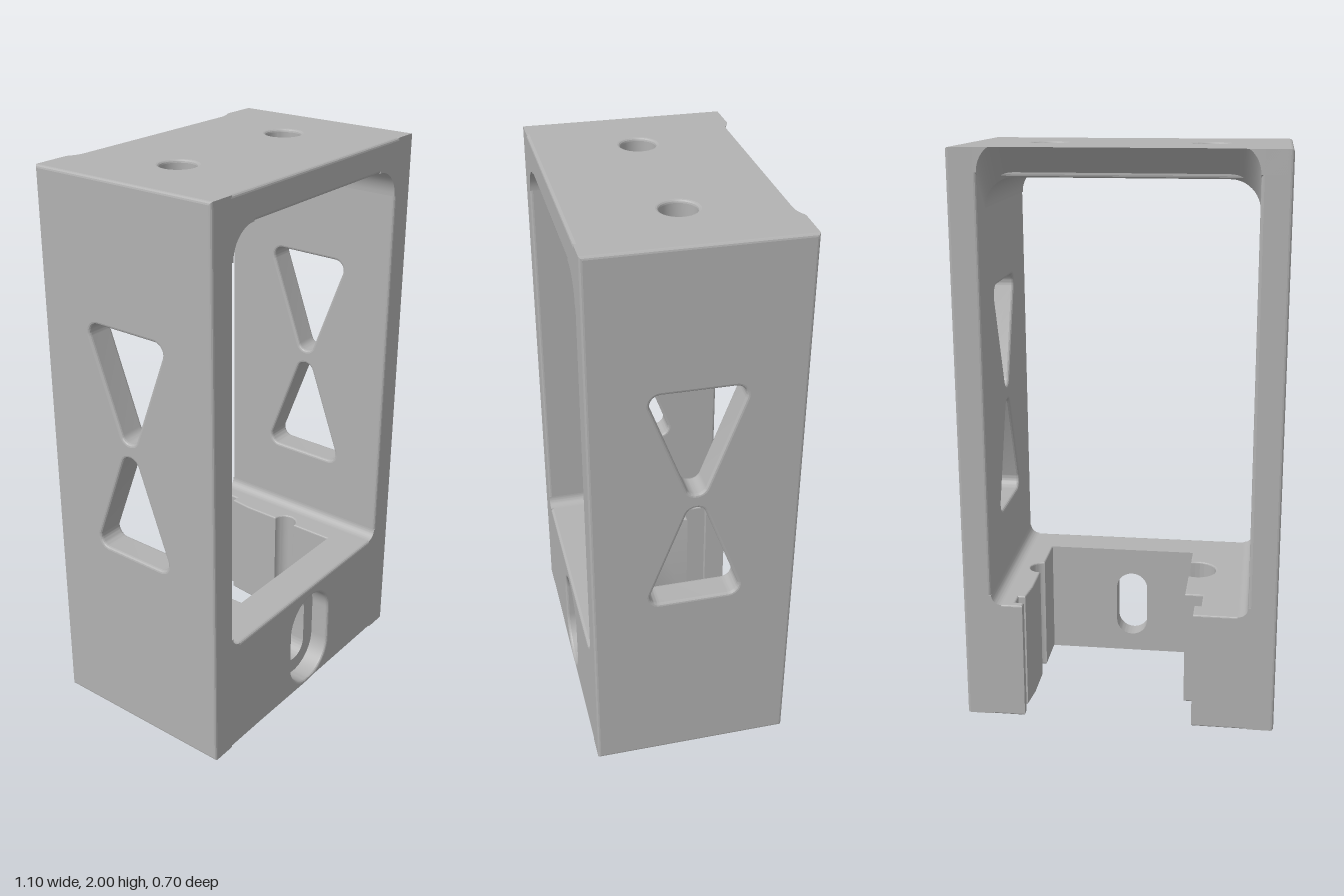
import * as THREE from 'three';
import { toCreasedNormals } from 'three/addons/utils/BufferGeometryUtils.js';

const EDGE = 0.01; // small rounding on outer edges

// Closed path through points, with every corner rounded to radius r
function roundedPath(pts, r, PathType = THREE.Shape) {
  const path = new PathType();
  const v = pts.map(([x, y]) => new THREE.Vector2(x, y));
  v.forEach((c, i) => {
    const a = v[(i + v.length - 1) % v.length].clone().sub(c).normalize();
    const b = v[(i + 1) % v.length].clone().sub(c).normalize();
    const inner = Math.acos(a.dot(b));
    const len = r / Math.tan(inner / 2);
    const k = len - (4 / 3) * Math.tan((Math.PI - inner) / 4) * r;
    const at = (d, s) => c.clone().addScaledVector(d, s);
    const p = at(a, len), p1 = at(a, k), p2 = at(b, k), q = at(b, len);
    if (i === 0) path.moveTo(p.x, p.y);
    else path.lineTo(p.x, p.y);
    path.bezierCurveTo(p1.x, p1.y, p2.x, p2.y, q.x, q.y);
  });
  path.closePath();
  return path;
}

const polygon = (pts) => new THREE.Shape(pts.map(([x, y]) => new THREE.Vector2(x, y)));
const rect = (x0, y0, x1, y1) => polygon([[x0, y0], [x1, y0], [x1, y1], [x0, y1]]);

function stadium(cx, cy, r, halfStraight) {
  const p = new THREE.Path();
  p.absarc(cx, cy + halfStraight, r, 0, Math.PI, false);
  p.absarc(cx, cy - halfStraight, r, Math.PI, Math.PI * 2, false);
  p.closePath();
  return p;
}

// Extrude a shape from w0 to w1 along an axis, with rounded edges of size b
function slab(shape, axis, w0, w1, b = EDGE) {
  const g = new THREE.ExtrudeGeometry(shape, {
    depth: w1 - w0 - 2 * b, curveSegments: 16, bevelEnabled: b > 0,
    bevelThickness: b, bevelSize: b, bevelOffset: -b, bevelSegments: 3,
  });
  g.translate(0, 0, w0 + b);
  if (axis === 'x') g.rotateY(Math.PI / 2);   // shape is (-z, y)
  if (axis === 'y') g.rotateX(-Math.PI / 2);  // shape is (x, -z)
  return toCreasedNormals(g, 0.25);
}

// Rear of the top plate: the rounded opening sweeps upward to a thin edge
function flareGeometry() {
  const xs = [-0.53];
  for (let i = 0; i <= 12; i++) xs.push(-0.35 - 0.1 * Math.cos((i / 12) * Math.PI / 2));
  xs.push(...xs.slice().reverse().map((x) => -x));
  const sections = xs.map((x) => {
    const dx = Math.min(0.1, Math.max(0, Math.abs(x) - 0.35));
    const y = 1.8 + Math.sqrt(Math.max(0, 0.01 - dx * dx));
    const t = Math.min(1, (2 - y) / 0.122);
    const z = -0.24 - 0.11 * t;
    return [[x, y, -0.24], [x, y + 0.122 * t, z], [x, 2, z], [x, 2, -0.2]];
  });
  const pos = [];
  for (let i = 0; i < sections.length - 1; i++) {
    const a = sections[i], b = sections[i + 1];
    for (let j = 0; j < 3; j++) {
      pos.push(...a[j], ...a[j + 1], ...b[j], ...b[j], ...a[j + 1], ...b[j + 1]);
    }
  }
  const g = new THREE.BufferGeometry();
  g.setAttribute('position', new THREE.Float32BufferAttribute(pos, 3));
  g.computeVertexNormals();
  return toCreasedNormals(g, 0.25);
}

// Concave fillet filling an inside corner at (x, y); sx, sy point into the opening
function filletShape(x, y, sx, sy, r) {
  const pts = [[x - sx * 0.02, y - sy * 0.02], [x + sx * r, y - sy * 0.02]];
  for (let i = 0; i <= 12; i++) {
    const a = (i / 12) * Math.PI / 2;
    pts.push([x + sx * r * (1 - Math.sin(a)), y + sy * r * (1 - Math.cos(a))]);
  }
  pts.push([x - sx * 0.02, y + sy * r]);
  return polygon(pts);
}

// Points around a round groove bulging toward direction s in x, ordered by z
function groove(cx, cz, r, s, half) {
  const pts = [];
  for (let i = 0; i <= 16; i++) {
    const a = -half + (2 * half * i) / 16;
    pts.push([cx + s * r * Math.cos(a), cz + r * Math.sin(a)]);
  }
  return pts;
}

export function createModel() {
  const model = new THREE.Group();
  const grey = new THREE.MeshStandardMaterial({ color: 0xb2b2b2 });
  grey.name = 'grey';
  const add = (name, geometry) => {
    const m = new THREE.Mesh(geometry, grey);
    m.name = name;
    model.add(m);
  };

  // Side walls with hourglass cutouts
  const side = rect(-0.35, 0, 0.35, 2);
  side.holes.push(
    roundedPath([[-0.168, 1.525], [0, 1.072], [0.168, 1.525]], 0.035, THREE.Path),
    roundedPath([[-0.168, 0.7], [0.168, 0.7], [0, 1.15]], 0.035, THREE.Path),
  );
  add('rightWall', slab(side, 'x', -0.55, -0.45));
  add('leftWall', slab(side, 'x', 0.45, 0.55));

  // Top plate with two screw holes and flared rear edge
  const top = rect(-0.54, -0.35, 0.54, 0.255);
  for (const x of [-0.277, 0.277]) {
    top.holes.push(new THREE.Path().absarc(x, 0, 0.06, 0, Math.PI * 2, true));
  }
  add('topPlate', slab(top, 'y', 1.9, 2));
  add('topRearFlare', flareGeometry());

  // Rounded inside corners of the opening
  for (const s of [-1, 1]) {
    const label = s < 0 ? 'right' : 'left';
    add(label + 'UpperFillet', slab(filletShape(s * 0.45, 1.9, -s, -1, 0.1), 'z', -0.24, 0.35, 0));
    add(label + 'LowerFillet', slab(filletShape(s * 0.45, 0.43, -s, 1, 0.035), 'z', -0.35, 0.35, 0));
  }

  // Lower front wall: wide recess in front, narrow slot behind
  const outer = rect(-0.54, 0, 0.54, 0.43);
  outer.holes.push(stadium(0.018, 0.2, 0.117, 0.07));
  add('frontWall', slab(outer, 'z', 0.265, 0.35));
  const inner = rect(-0.53, 0, 0.53, 0.43);
  inner.holes.push(stadium(0.018, 0.2, 0.06, 0.07));
  add('slotWall', slab(inner, 'z', 0.21, 0.28, 0));

  // Base blocks either side of the rear channel, in plan (x, z)
  const rightPlan = [
    [-0.53, -0.35], [-0.26, -0.35], [-0.26, -0.27], [-0.285, -0.27], [-0.285, -0.18],
    [-0.22, -0.18], ...groove(-0.25, 0.05, 0.07, -1, 2.01), [-0.22, 0.33], [-0.53, 0.33],
  ];
  const leftPlan = [
    [0.53, -0.35], [0.34, -0.35], [0.34, -0.32], [0.37, -0.32], [0.37, -0.27],
    [0.345, -0.27], [0.335, -0.18], ...groove(0.335, 0, 0.045, 1, Math.PI / 2),
    [0.335, 0.33], [0.53, 0.33],
  ];
  const flip = (pts) => polygon(pts.map(([x, z]) => [x, -z]));
  add('rightBaseBlock', slab(flip(rightPlan), 'y', 0, 0.43, 0.006));
  add('leftBaseBlock', slab(flip(leftPlan), 'y', 0, 0.43, 0.006));

  return model;
}
